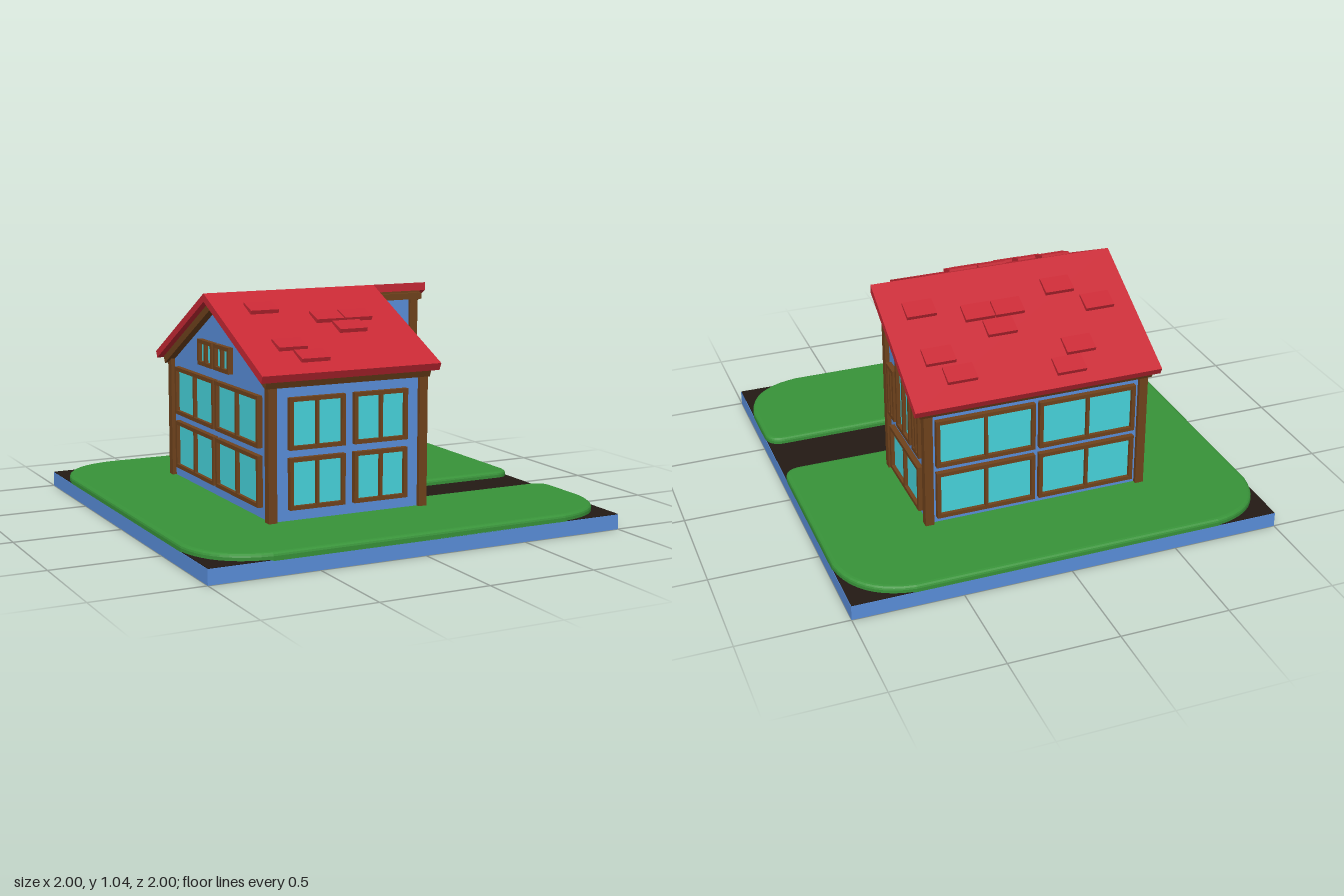
import * as THREE from 'three';

const mat = (color) => new THREE.MeshStandardMaterial({ color });
const BLUE = mat(0x5a8fdc), RED = mat(0xc82935), BROWN = mat(0x70431c), GLASS = mat(0x48d6de);
const GREEN = mat(0x389339), DARK = mat(0x231a14), DOOR = mat(0xcc7d63);

function addMesh(parent, name, geometry, material) {
  const m = new THREE.Mesh(geometry, material);
  m.name = name;
  parent.add(m);
  return m;
}

// Box given by its minimum and maximum corners
function addBox(parent, name, a, b, material) {
  const s = b.map((v, i) => v - a[i]);
  const m = addMesh(parent, name, new THREE.BoxGeometry(...s), material);
  m.position.set(...a.map((v, i) => v + s[i] / 2));
  return m;
}

const polygon = (pts) => new THREE.Shape(pts.map(([x, y]) => new THREE.Vector2(x, y)));

// Side profile of [z, y] points, extruded along x
function addProfile(parent, name, pts, x0, x1, material) {
  const g = new THREE.ExtrudeGeometry(polygon(pts.map(([z, y]) => [-z, y])), { depth: x1 - x0, bevelEnabled: false });
  g.rotateY(Math.PI / 2).translate(x0, 0, 0);
  return addMesh(parent, name, g, material);
}

// Framed window with panes; the top edge may slope from yl to yr
function addWindow(wall, x0, x1, y0, yl, yr = yl, panes = 2) {
  const win = new THREE.Group();
  win.name = 'window';
  wall.add(win);
  const top = (x) => yl + (yr - yl) * (x - x0) / (x1 - x0);
  const quad = (a, b, inset) => [[a, y0 + inset], [b, y0 + inset], [b, top(b) - inset], [a, top(a) - inset]];
  const bar = 0.018, mullion = 0.014;
  const frame = polygon(quad(x0, x1, 0));
  const w = (x1 - x0 - 2 * bar - (panes - 1) * mullion) / panes;
  for (let i = 0; i < panes; i++) {
    const a = x0 + bar + i * (w + mullion);
    frame.holes.push(polygon(quad(a, a + w, bar)));
  }
  addMesh(win, 'windowFrame', new THREE.ExtrudeGeometry(frame, { depth: 0.025, bevelEnabled: false }), BROWN);
  const e = 0.005;
  addMesh(win, 'windowGlass', new THREE.ExtrudeGeometry(polygon(quad(x0 + e, x1 - e, e)), { depth: 0.008, bevelEnabled: false }), GLASS);
}

// Group whose local xy plane lies on a wall
function addWall(parent, name, x, z, angle) {
  const g = new THREE.Group();
  g.name = name;
  g.position.set(x, 0, z);
  g.rotation.y = angle;
  parent.add(g);
  return g;
}

// Rounded lawn outline with a notch for the path
function lawnGeometry() {
  const e = 0.98, r = 0.27, c = 0.06, s = new THREE.Shape();
  const za = 0.105, zb = 0.42, xi = 0.2;
  // shape y is -z
  s.moveTo(-e + r, -e).lineTo(e - r, -e);
  s.quadraticCurveTo(e - 0.03, -e + 0.03, e, -e + r).lineTo(e, -zb - c);
  s.quadraticCurveTo(e, -zb, e - c, -zb).lineTo(xi, -zb).lineTo(xi, -za).lineTo(e - c, -za);
  s.quadraticCurveTo(e, -za, e, -za + c).lineTo(e, e - r);
  s.quadraticCurveTo(e - 0.03, e - 0.03, e - r, e).lineTo(-e + r, e);
  s.quadraticCurveTo(-e + 0.03, e - 0.03, -e, e - r).lineTo(-e, -e + r);
  s.quadraticCurveTo(-e + 0.03, -e + 0.03, -e + r, -e);
  const g = new THREE.ExtrudeGeometry(s, { depth: 0.02, bevelThickness: 0.015, bevelSize: 0.02, bevelSegments: 3, curveSegments: 10 });
  return g.rotateX(-Math.PI / 2).translate(0, 0.065, 0);
}

export function createModel() {
  const model = new THREE.Group();
  model.name = 'house';

  // Ground
  addBox(model, 'basePlate', [-1, 0, -1], [1, 0.068, 1], BLUE);
  addBox(model, 'path', [-0.998, 0.066, -0.998], [0.998, 0.071, 0.998], DARK);
  addMesh(model, 'lawn', lawnGeometry(), GREEN);

  // Wall blocks
  const ridge = -0.02;
  addProfile(model, 'frontWalls', [[ridge, 0.07], [0.555, 0.07], [0.555, 0.72], [ridge, 0.98]], -0.515, 0.23, BLUE);
  addProfile(model, 'backWalls', [[-0.565, 0.07], [ridge, 0.07], [ridge, 0.98], [-0.565, 0.69]], -0.515, 0.51, BLUE);

  // Corner posts: x, z, height of top
  for (const [x, z, top] of [[-0.515, 0.555, 0.71], [0.23, 0.555, 0.71], [-0.515, -0.565, 0.685], [0.51, -0.565, 0.685], [0.51, -0.025, 0.98]])
    addBox(model, 'cornerPost', [x - 0.02, 0.07, z - 0.02], [x + 0.02, top, z + 0.02], BROWN);

  // Roof slabs over brown trim
  addProfile(model, 'frontRoof', [[ridge, 1.045], [ridge, 1.007], [0.6, 0.72], [0.615, 0.753]], -0.58, 0.295, RED);
  addProfile(model, 'backRoof', [[ridge, 1.045], [-0.63, 0.705], [-0.615, 0.675], [ridge, 1.007]], -0.58, 0.58, RED);
  addProfile(model, 'frontRoofTrim', [[ridge, 1.008], [ridge, 0.968], [0.575, 0.69], [0.59, 0.725]], -0.55, 0.26, BROWN);
  addProfile(model, 'backRoofTrim', [[ridge, 1.008], [-0.605, 0.681], [-0.59, 0.65], [ridge, 0.968]], -0.55, 0.55, BROWN);
  addBox(model, 'ridgeBeam', [-0.55, 0.968, -0.03], [0.55, 0.998, 0], BROWN);

  // Loose shingles: x, z
  const shingles = [[-0.165, -0.54], [-0.245, -0.455], [-0.415, -0.27], [-0.26, -0.165], [0.007, -0.23], [0.15, -0.23],
    [0.075, -0.315], [0.33, -0.495], [0.395, -0.4], [0.405, -0.175],
    [-0.36, 0.125], [-0.077, 0.22], [0.067, 0.22], [-0.003, 0.305], [-0.355, 0.41], [-0.29, 0.5]];
  for (const [x, z] of shingles) {
    const slope = z > 0 ? 0.46 : 0.5574;
    const s = addMesh(model, 'shingle', new THREE.BoxGeometry(0.138, 0.022, 0.088), RED);
    s.position.set(x, 1.049 - slope * Math.abs(z - ridge), z);
    s.rotation.x = Math.sign(z) * (Math.atan(slope) - 0.09);
  }

  // Front windows
  const front = addWall(model, 'frontWallOpenings', 0, 0.555, 0);
  for (const [a, b] of [[0.15, 0.38], [0.415, 0.645]]) {
    addWindow(front, -0.435, -0.165, a, b);
    addWindow(front, -0.12, 0.147, a, b);
  }

  // Back windows
  const back = addWall(model, 'backWallOpenings', 0, -0.565, Math.PI);
  for (const [a, b] of [[0.13, 0.36], [0.39, 0.62]]) {
    addWindow(back, -0.475, -0.01, a, b);
    addWindow(back, 0.01, 0.475, a, b);
  }

  // Full gable windows
  const gable = addWall(model, 'rightGableOpenings', -0.515, 0, -Math.PI / 2);
  for (const [a, b] of [[0.15, 0.38], [0.415, 0.645]]) {
    addWindow(gable, -0.49, -0.02, a, b);
    addWindow(gable, 0, 0.47, a, b);
  }
  addWindow(gable, -0.2, -0.03, 0.695, 0.815);
  addWindow(gable, -0.01, 0.16, 0.695, 0.815);

  // Windows beside and above the door
  const wing = addWall(model, 'backWingOpenings', 0.51, 0, Math.PI / 2);
  addWindow(wing, 0.07, 0.165, 0.41, 0.67);
  addWindow(wing, 0.42, 0.515, 0.41, 0.67);
  addWindow(wing, 0.2, 0.39, 0.41, 0.785, 0.68);
  addWindow(wing, 0.09, 0.5, 0.13, 0.355);

  // Door with frame and knob
  const entry = addWall(model, 'entryWallOpenings', 0.23, 0, Math.PI / 2);
  addWindow(entry, -0.4, -0.14, 0.475, 0.705);
  const frame = polygon([[-0.405, 0.07], [-0.14, 0.07], [-0.14, 0.42], [-0.405, 0.42]]);
  frame.holes.push(polygon([[-0.385, 0.085], [-0.16, 0.085], [-0.16, 0.4], [-0.385, 0.4]]));
  addMesh(entry, 'doorFrame', new THREE.ExtrudeGeometry(frame, { depth: 0.028, bevelEnabled: false }), BROWN);
  addBox(entry, 'door', [-0.39, 0.075, 0], [-0.155, 0.41, 0.012], DOOR);
  const knob = addMesh(entry, 'doorKnob', new THREE.SphereGeometry(0.012, 16, 12), BROWN);
  knob.position.set(-0.205, 0.245, 0.024);

  return model;
}
